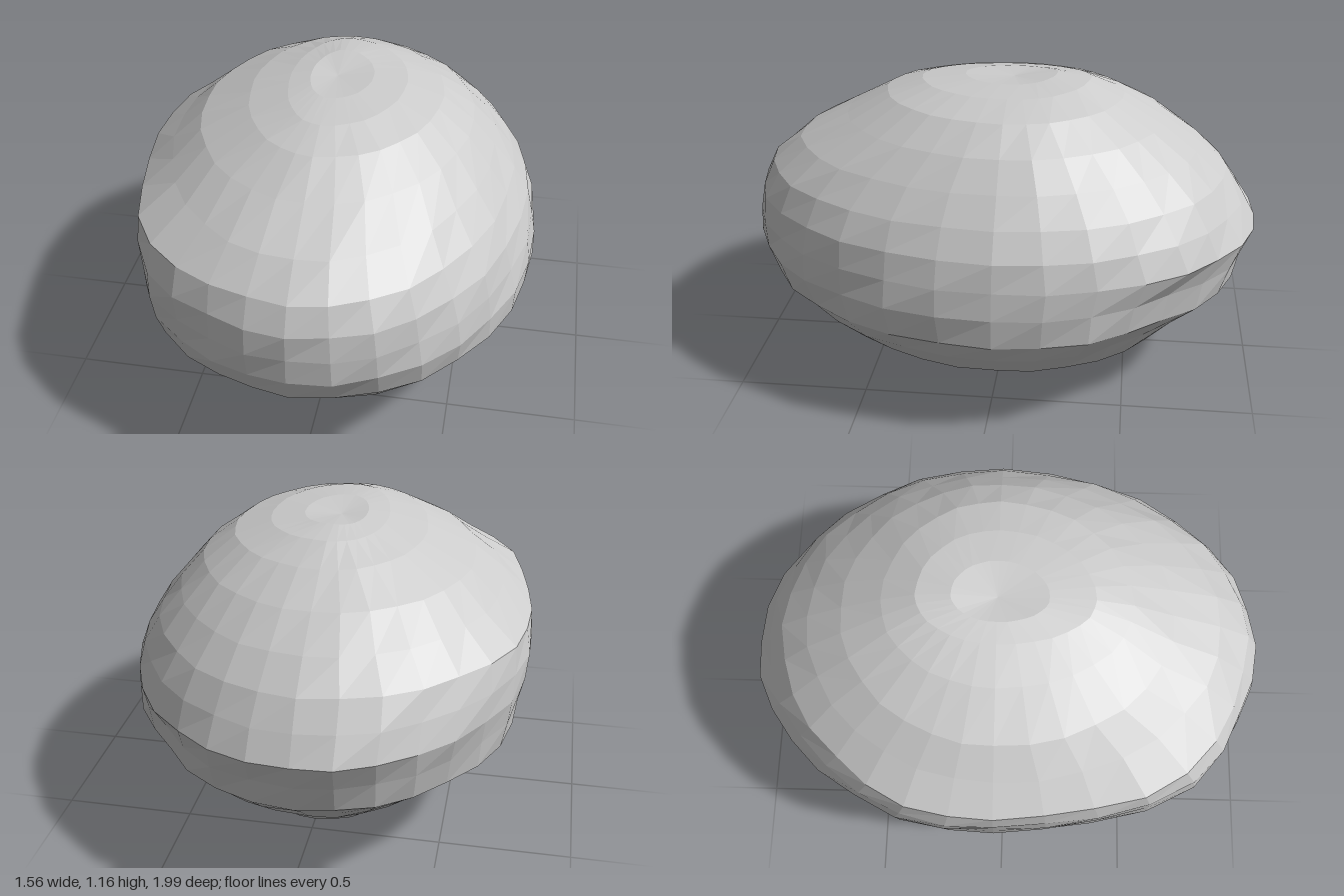
import * as THREE from 'three';

const SEGMENTS = 32;
const CENTRE = { x: -0.03, z: -0.03 };

// Horizontal rings from bottom to top: height, then reach to +x, -x, +z and -z
const RINGS = [
  [0.035, 0.18, -0.20, 0.40, -0.36],
  [0.075, 0.34, -0.36, 0.48, -0.54],
  [0.13, 0.48, -0.43, 0.59, -0.59],
  [0.20, 0.62, -0.53, 0.72, -0.70],
  [0.30, 0.71, -0.64, 0.86, -0.82],
  [0.39, 0.775, -0.74, 0.95, -0.93],
  [0.50, 0.78, -0.755, 1.00, -0.96],
  [0.60, 0.76, -0.77, 1.00, -1.00],
  [0.70, 0.73, -0.78, 0.99, -0.94],
  [0.80, 0.67, -0.77, 0.94, -0.87],
  [0.90, 0.59, -0.66, 0.82, -0.76],
  [1.00, 0.50, -0.55, 0.63, -0.62],
  [1.09, 0.38, -0.36, 0.47, -0.46],
  [1.135, 0.24, -0.21, 0.33, -0.33],
  [1.15, 0.11, -0.13, 0.16, -0.20],
];

// Smooth bump around an angle, wrapping at a full turn
function bump(angle, centre, width) {
  const d = Math.atan2(Math.sin(angle - centre), Math.cos(angle - centre));
  return Math.exp(-((d / width) ** 2));
}

function ringPoint([y, right, left, front, back], i, row) {
  const a = (i / SEGMENTS) * Math.PI * 2;
  const c = Math.cos(a), s = Math.sin(a);
  let k = 1;
  // cut face with a proud corner at front left, small hollow at back right
  if (y > 0.35 && y < 0.85) k += 0.06 * bump(a, 2.4, 0.3) + 0.03 * bump(a, 3.5, 0.25);
  if (y > 0.25 && y < 0.55) k -= 0.05 * bump(a, -0.75, 0.3);
  // slight chipped unevenness
  k += 0.006 * Math.sin(i * 2.3 + row * 1.7);
  const x = CENTRE.x + c * k * ((c > 0 ? right : left) - CENTRE.x) * (c > 0 ? 1 : -1);
  const z = CENTRE.z + s * k * ((s > 0 ? front : back) - CENTRE.z) * (s > 0 ? 1 : -1);
  // foot below the back, raised lip behind the crown
  if (row === 0) y -= 0.035 * bump(a, -1.75, 0.35);
  if (y > 1.12) y += 0.012 * bump(a, -1.5, 0.8);
  return [x, y, z];
}

export function createModel() {
  const group = new THREE.Group();
  group.name = 'rock';

  const positions = [];
  const index = [];
  RINGS.forEach((ring, row) => {
    for (let i = 0; i < SEGMENTS; i++) positions.push(...ringPoint(ring, i, row));
  });
  const bottom = positions.length / 3;
  positions.push(CENTRE.x, 0.035, CENTRE.z, CENTRE.x, 1.14, CENTRE.z);
  const top = bottom + 1;
  const lastRow = (RINGS.length - 1) * SEGMENTS;

  for (let i = 0; i < SEGMENTS; i++) {
    const j = (i + 1) % SEGMENTS;
    // sides
    for (let r = 0; r < lastRow; r += SEGMENTS) {
      const a = r + i, b = r + j, c = b + SEGMENTS, d = a + SEGMENTS;
      index.push(a, d, b, b, d, c);
    }
    // closing fans
    index.push(bottom, i, j);
    index.push(top, lastRow + j, lastRow + i);
  }

  const geometry = new THREE.BufferGeometry();
  geometry.setAttribute('position', new THREE.Float32BufferAttribute(positions, 3));
  geometry.setIndex(index);
  geometry.computeVertexNormals();

  const stone = new THREE.Mesh(
    geometry,
    new THREE.MeshStandardMaterial({ color: 0xcccccc, flatShading: true })
  );
  stone.name = 'boulder';
  group.add(stone);
  return group;
}
